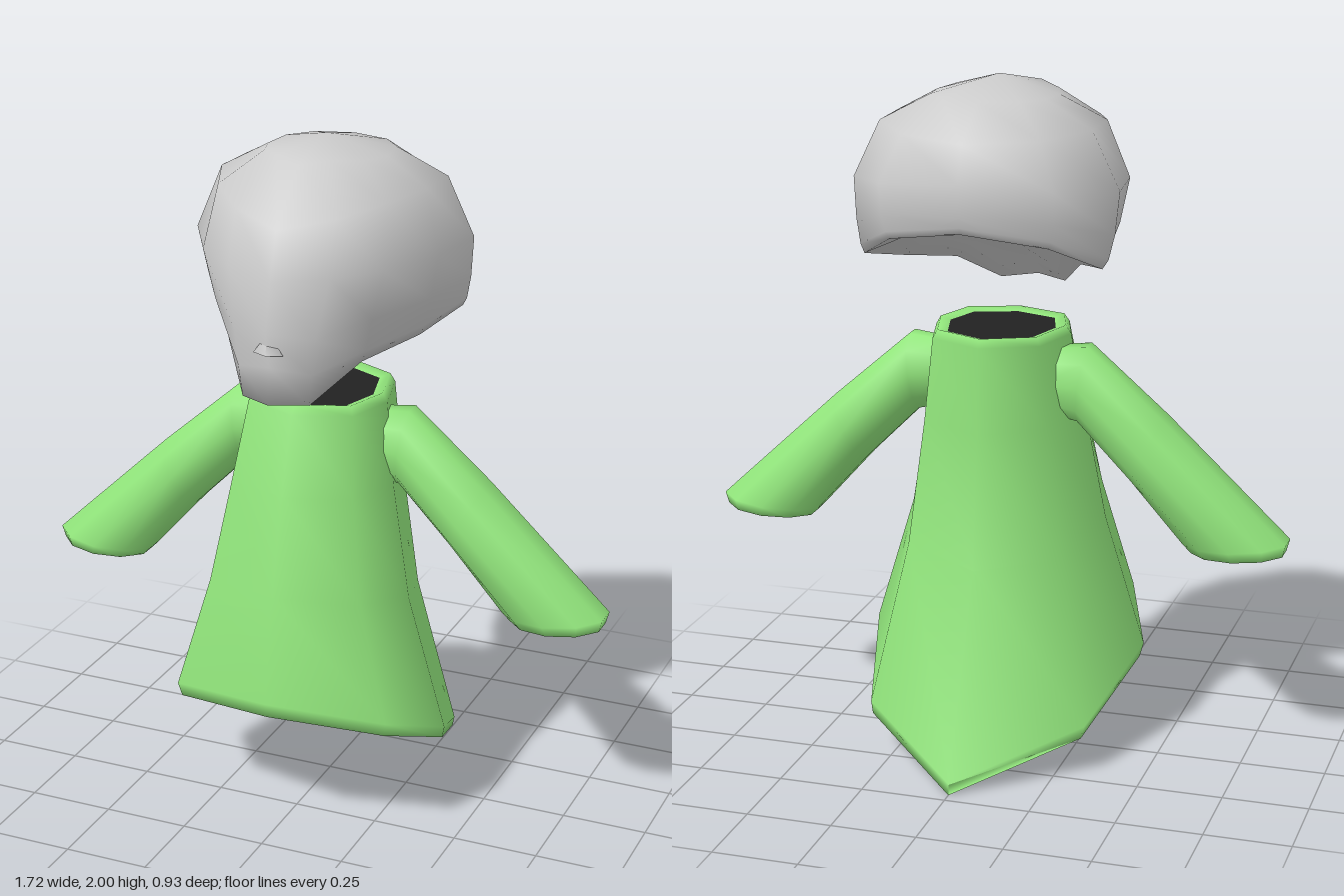
import * as THREE from 'three';

const mat = (color) => new THREE.MeshStandardMaterial({ color, side: THREE.DoubleSide });

// Smooth skin through closed rings of points, listed from top to bottom
function loft(rings, endPoint, startPoint) {
  const n = rings[0].length, pos = rings.flat(2), index = [];
  for (let r = 0; r < rings.length - 1; r++) {
    for (let i = 0; i < n; i++) {
      const j = (i + 1) % n, a = r * n + i, b = a + n, c = (r + 1) * n + j, d = r * n + j;
      index.push(a, b, c, a, c, d);
    }
  }
  const last = (rings.length - 1) * n;
  if (endPoint) {
    const e = pos.length / 3;
    pos.push(...endPoint);
    for (let i = 0; i < n; i++) index.push(last + i, e, last + (i + 1) % n);
  }
  if (startPoint) {
    const s = pos.length / 3;
    pos.push(...startPoint);
    for (let i = 0; i < n; i++) index.push(s, i, (i + 1) % n);
  }
  const geo = new THREE.BufferGeometry();
  geo.setAttribute('position', new THREE.Float32BufferAttribute(pos, 3));
  geo.setIndex(index);
  geo.computeVertexNormals();
  return geo;
}

// Flat lid over one ring, facing up or down
function lid(ring, up) {
  const mid = [0, 1, 2].map((k) => ring.reduce((s, p) => s + p[k], 0) / ring.length);
  return up ? loft([ring], null, mid) : loft([ring], mid);
}

// Half ring from front centre to back centre, completed by mirroring
function mirrorRing(half) {
  const other = half.slice(1, -1).reverse().map(([x, y, z]) => [-x, y, z]);
  return [...half, ...other];
}

// Eight-sided robe ring, tilted from front height yf to back height yb
function robeRing(w, zf, zb, yf, yb, t = [1, 0.87, 0.55, 0.17, 0]) {
  const xs = [0, 0.78, 1, 0.78, 0];
  return mirrorRing(t.map((k, i) => [xs[i] * w, yb + (yf - yb) * k, zb + (zf - zb) * k]));
}

// Sleeve ring between an outer (upper) and inner (lower) point, half depth hz
function sleeveRing(side, [ox, oy], [ix, iy], hz) {
  return Array.from({ length: 10 }, (_, i) => {
    const a = side * (i / 10) * Math.PI * 2, k = (Math.sin(a) + 1) / 2;
    return [side * (ix + (ox - ix) * k), iy + (oy - iy) * k, 0.035 + hz * Math.cos(a)];
  });
}

export function createModel() {
  const model = new THREE.Group();
  const grey = mat(0xcccccc), green = mat(0x92e67c), dark = mat(0x222222);
  const add = (name, geo, material, parent = model) => {
    const mesh = new THREE.Mesh(geo, material);
    mesh.name = name;
    parent.add(mesh);
  };

  // Head: domed skull narrowing to the chin, hollowed underneath
  const headRings = [
    [[0, 1.955, 0.22], [0.08, 1.965, 0.18], [0.15, 1.955, 0.11], [0.18, 1.95, 0.02],
      [0.17, 1.95, -0.08], [0.11, 1.95, -0.15], [0, 1.95, -0.18]],
    [[0, 1.81, 0.365], [0.15, 1.84, 0.3], [0.25, 1.87, 0.2], [0.31, 1.88, 0.05],
      [0.31, 1.875, -0.11], [0.2, 1.86, -0.24], [0, 1.855, -0.32]],
    [[0, 1.68, 0.405], [0.15, 1.69, 0.35], [0.27, 1.7, 0.26], [0.365, 1.71, 0.1],
      [0.39, 1.71, -0.11], [0.25, 1.73, -0.29], [0, 1.75, -0.36]],
    [[0, 1.54, 0.44], [0.12, 1.52, 0.38], [0.235, 1.56, 0.26], [0.34, 1.58, 0.09],
      [0.38, 1.59, -0.12], [0.25, 1.64, -0.28], [0, 1.66, -0.35]],
    [[0, 1.44, 0.42], [0.11, 1.42, 0.38], [0.21, 1.46, 0.24], [0.31, 1.49, 0.06],
      [0.365, 1.52, -0.13], [0.24, 1.59, -0.27], [0, 1.63, -0.345]],
    [[0, 1.335, 0.43], [0.1, 1.33, 0.375], [0.19, 1.42, 0.22], [0.29, 1.455, 0.04],
      [0.35, 1.495, -0.14], [0.23, 1.57, -0.265], [0, 1.61, -0.335]],
    [[0, 1.4, 0.34], [0.07, 1.4, 0.3], [0.13, 1.47, 0.18], [0.2, 1.52, 0.03],
      [0.23, 1.55, -0.1], [0.15, 1.59, -0.2], [0, 1.61, -0.24]],
  ].map(mirrorRing);
  add('head', loft(headRings, [0, 1.55, 0.02], [0, 2, 0.03]), grey);

  // Small nose
  const nose = new THREE.ConeGeometry(0.045, 0.06, 4, 1).scale(1, 1, 0.45).translate(0, 1.51, 0.422);
  add('nose', nose, grey);

  // Robe: rounded neck, flaring to a slanted hem that turns inwards
  const hemT = [1, 0.89, 0.64, 0.28, 0];
  const neck = robeRing(0.16, 0.22, -0.13, 1.265, 1.265);
  const hem = robeRing(0.25, 0.29, -0.13, 0.36, 0.17, hemT);
  const robe = [
    neck,
    robeRing(0.19, 0.25, -0.165, 1.275, 1.275),
    robeRing(0.205, 0.27, -0.18, 1.25, 1.25),
    robeRing(0.24, 0.34, -0.19, 1.03, 1.0),
    robeRing(0.3, 0.41, -0.225, 0.75, 0.6),
    robeRing(0.42, 0.467, -0.46, 0.44, 0.035, hemT),
    robeRing(0.41, 0.455, -0.465, 0.395, 0.005, hemT),
    hem,
  ];
  add('robe', loft(robe), green);
  add('neckOpening', lid(neck, true), dark);
  add('hemOpening', lid(hem, false), dark);

  // Sleeves: slanting down to a level cuff
  for (const side of [1, -1]) {
    const arm = new THREE.Group();
    arm.name = side > 0 ? 'leftSleeve' : 'rightSleeve';
    const cuff = sleeveRing(side, [0.81, 0.66], [0.63, 0.655], 0.065);
    const rings = [
      sleeveRing(side, [0.14, 1.22], [0.15, 1.02], 0.07),
      sleeveRing(side, [0.27, 1.235], [0.24, 1.0], 0.09),
      sleeveRing(side, [0.5, 1.035], [0.4, 0.84], 0.115),
      sleeveRing(side, [0.87, 0.69], [0.555, 0.665], 0.117),
      sleeveRing(side, [0.86, 0.655], [0.58, 0.64], 0.105),
      cuff,
    ];
    add('sleeve', loft(rings), green, arm);
    add('cuffOpening', lid(cuff, false), dark, arm);
    model.add(arm);
  }
  return model;
}
